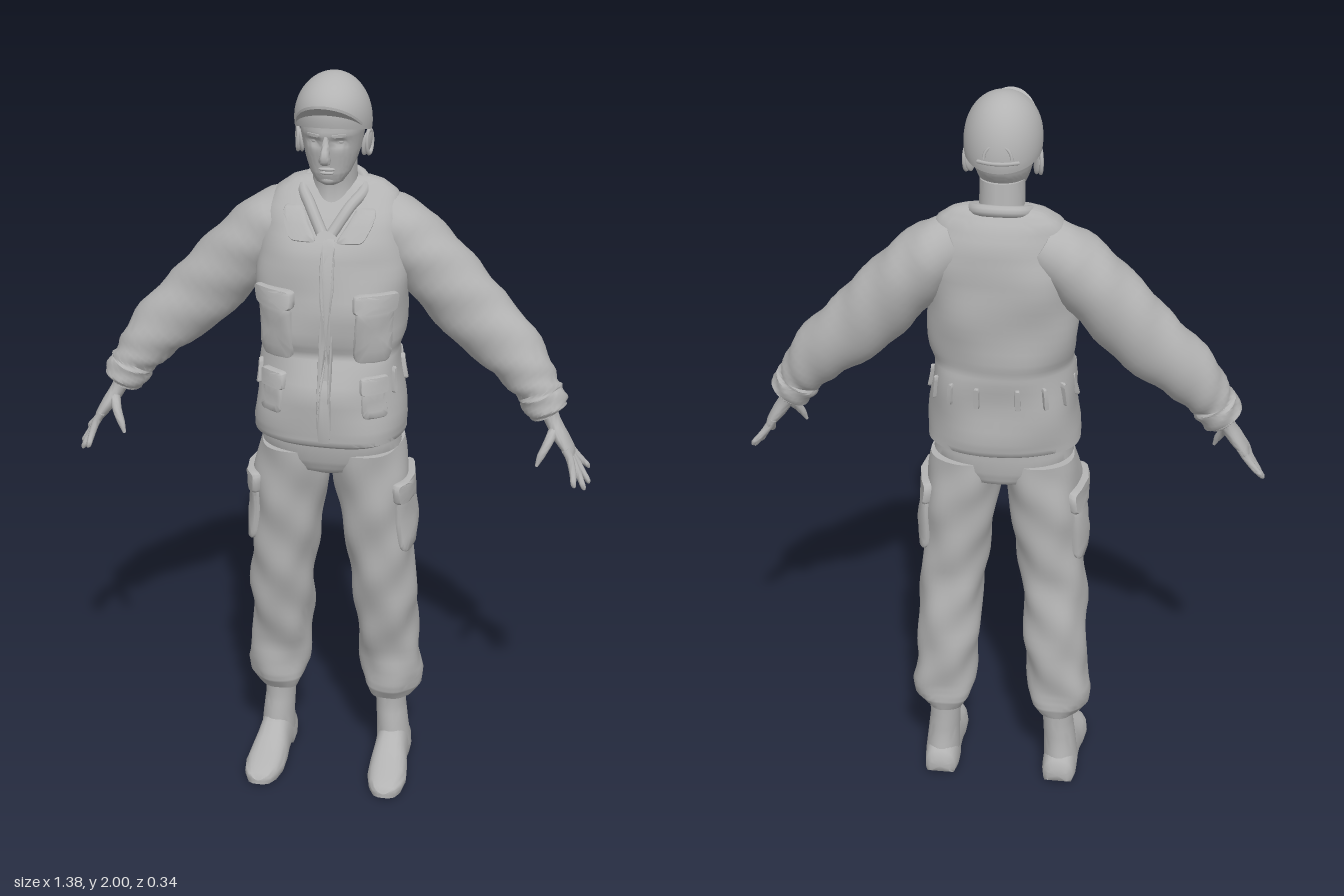
import * as THREE from 'three';
import { toCreasedNormals } from 'three/addons/utils/BufferGeometryUtils.js';

const V = (x, y, z) => new THREE.Vector3(x, y, z);
const spow = (v, e) => Math.sign(v) * Math.abs(v) ** e;
const TAU = Math.PI * 2;

// Closed skin over rings of points, capped at both ends; faces always point outward
function skin(rings, s = 1) {
  const n = rings[0].length, pos = [], idx = [];
  const all = rings.flat();
  for (const r of [rings[0], rings[rings.length - 1]]) {
    const c = V(0, 0, 0);
    r.forEach(p => c.add(p));
    all.push(c.divideScalar(n));
  }
  all.forEach(p => pos.push(p.x * s, p.y, p.z));
  const a0 = all.length - 2, a1 = all.length - 1, last = (rings.length - 1) * n;
  for (let j = 0; j < n; j++) {
    const k = (j + 1) % n;
    for (let i = 0; i < last; i += n) idx.push(i + j, i + k, i + n + k, i + j, i + n + k, i + n + j);
    idx.push(a0, k, j, a1, last + j, last + k);
  }
  const at = i => V(pos[3 * i], pos[3 * i + 1], pos[3 * i + 2]);
  let vol = 0;
  for (let i = 0; i < idx.length; i += 3) vol += at(idx[i]).dot(at(idx[i + 1]).cross(at(idx[i + 2])));
  if (vol < 0) idx.reverse();
  const g = new THREE.BufferGeometry();
  g.setAttribute('position', new THREE.Float32BufferAttribute(pos, 3));
  g.setIndex(idx);
  return toCreasedNormals(g, 0.95);
}

// Upright body surface from sections [y, centre x, centre z, radius x, radius z]
function body(sections, n = 2.3, fold = 0) {
  const point = (a, y, d = 0) => {
    let i = 0;
    while (i < sections.length - 2 && (y - sections[i + 1][0]) * (sections[1][0] - sections[0][0]) > 0) i++;
    const A = sections[i], B = sections[i + 1], t = (y - A[0]) / (B[0] - A[0]);
    const [, cx, cz, rx, rz] = A.map((v, k) => v + (B[k] - v) * t);
    const f = fold * (Math.sin(3 * a + y * 34) + 0.6 * Math.sin(5 * a - y * 21));
    const c = Math.cos(a), q = Math.sin(a), l = Math.hypot(c / rx, q / rz);
    return V(cx + (rx + f) * spow(c, 2 / n) + d * c / rx / l, y, cz + (rz + f) * spow(q, 2 / n) + d * q / rz / l);
  };
  const geometry = (s = 1, sub = 3, m = 40, rule = p => p) => {
    const ys = [];
    sections.forEach((A, i) => {
      if (i) for (let k = 1; k <= sub; k++) ys.push(sections[i - 1][0] + (A[0] - sections[i - 1][0]) * k / sub);
      else ys.push(A[0]);
    });
    return skin(ys.map(y => Array.from({ length: m }, (_, j) => rule(point(j / m * TAU, y)))), s);
  };
  return { point, geometry };
}

// Raised rounded panel that follows a body surface
function panel(surf, a0, a1, y0, y1, d, s = 1, skew = 0) {
  const rings = [[1, -0.012], [1, d * 0.6], [0.93, d], [0.6, d], [0.25, d]].map(([k, o]) =>
    Array.from({ length: 32 }, (_, j) => {
      const t = j / 32 * TAU, u = k * spow(Math.cos(t), 0.3), v = k * spow(Math.sin(t), 0.3);
      return surf.point((a0 + a1) / 2 + u * (a1 - a0) / 2 + skew * v, (y0 + y1) / 2 + v * (y1 - y0) / 2, o);
    }));
  return skin(rings, s);
}

// Limb along a path of [x, y, z, radius across, radius along z]
function limb(path, s = 1, m = 20, sub = 3, fold = 0) {
  const curve = new THREE.CatmullRomCurve3(path.map(p => V(p[0], p[1], p[2])));
  const N = (path.length - 1) * sub, rings = [];
  for (let i = 0; i <= N; i++) {
    const t = i / N, k = Math.min(Math.floor(i / sub), path.length - 2), f = i / sub - k;
    const mix = q => path[k][q] + (path[k + 1][q] - path[k][q]) * f;
    const T = curve.getTangent(t), B = V(0, 0, 1).addScaledVector(T, -T.z).normalize(), U = B.clone().cross(T);
    const c = curve.getPoint(t);
    rings.push(Array.from({ length: m }, (_, j) => {
      const a = j / m * TAU, w = fold * Math.sin(3 * a + i * 1.3);
      return c.clone().addScaledVector(U, (mix(3) + w) * Math.cos(a)).addScaledVector(B, (mix(4) + w) * Math.sin(a));
    }));
  }
  return skin(rings, s);
}

export function createModel() {
  const model = new THREE.Group();
  const grey = new THREE.MeshStandardMaterial({ color: 0xb3b3b3 });
  grey.name = 'plain grey';
  const add = (name, geo) => {
    const m = new THREE.Mesh(geo, grey);
    m.name = name;
    model.add(m);
    return m;
  };
  const ball = (name, x, y, z, rx, ry, rz) => {
    const m = add(name, new THREE.SphereGeometry(1, 16, 12));
    m.position.set(x, y, z);
    m.scale.set(rx, ry, rz);
    return m;
  };
  const F = Math.PI / 2;

  // Jacket
  const jacket = body([[1.05, 0, -.003, .18, .135], [1.062, 0, -.003, .2, .153], [1.1, 0, -.003, .2, .157],
    [1.2, 0, -.005, .189, .154], [1.27, 0, -.018, .182, .142], [1.295, 0, -.022, .179, .136], [1.33, 0, -.02, .188, .144],
    [1.42, 0, -.022, .195, .146], [1.5, 0, -.03, .197, .14], [1.57, 0, -.04, .194, .13], [1.64, 0, -.055, .183, .1],
    [1.69, 0, -.068, .155, .066], [1.715, 0, -.07, .12, .045], [1.725, 0, -.07, .09, .03]], 2.4, 0.003);
  add('jacket', jacket.geometry(1, 3, 56));
  add('jacketPlacket', panel(jacket, F - .09, F + .03, 1.07, 1.6, .004));
  for (const a of [.22, .62]) for (const s of [1, -1])
    add('backBeltLoop', panel(jacket, -F + a - .035, -F + a + .035, 1.2, 1.26, .009, s));

  // Hips
  add('trouserSeat', body([[1.12, 0, -.005, .175, .135], [1.0, 0, -.012, .187, .127], [.965, 0, -.015, .13, .115],
    [.95, 0, -.015, .06, .09]], 2.3).geometry());

  const leg = body([[1.02, .095, -.014, .094, .126], [.93, .107, -.017, .1, .123], [.85, .116, -.02, .097, .118],
    [.75, .125, -.022, .092, .108], [.65, .136, -.027, .087, .1], [.55, .145, -.04, .087, .097], [.45, .147, -.056, .084, .09],
    [.36, .155, -.066, .083, .076], [.29, .163, -.067, .088, .072], [.25, .163, -.067, .078, .074],
    [.215, .16, -.068, .056, .058]], 2.2, 0.0035);
  const boot = body([[.27, .16, -.068, .05, .052], [.18, .16, -.069, .042, .05], [.12, .165, -.066, .044, .056],
    [.04, .17, -.07, .048, .068]], 2);
  // Foot sections: z, centre x, half width, top, bottom
  const foot = [[-.146, .168, .028, .05, .012], [-.135, .168, .042, .075, .004], [-.1, .168, .048, .1, 0], [-.06, .168, .048, .12, 0],
    [-.045, .169, .047, .122, .012], [0, .17, .048, .105, .012], [.04, .172, .053, .08, .005], [.09, .175, .055, .06, 0],
    [.13, .177, .047, .047, 0], [.158, .178, .033, .035, .003], [.173, .178, .016, .022, .008]];

  for (const s of [1, -1]) {
    // Trousers and boots
    add('trouserLeg', leg.geometry(s, 4));
    add('thighPocket', panel(leg, -.7, .8, .72, .9, .013, s));
    add('thighPocketFlap', panel(leg, -.75, .85, .87, .935, .019, s));
    add('bootShaft', boot.geometry(s, 3, 28));
    add('bootFoot', skin(foot.map(([z, cx, w, top, bot]) => Array.from({ length: 24 }, (_, j) => {
      const a = j / 24 * TAU, q = Math.sin(a);
      return V(cx + w * spow(Math.cos(a), .7), q > 0 ? bot + .02 + (top - bot - .02) * q : bot + .02 * (1 - Math.min(1, -q * 2)), z);
    })), s));

    // Jacket pockets, loops and collar flaps
    add('chestPocket', panel(jacket, F - 1.02, F - .36, 1.285, 1.44, .012, s));
    add('chestPocketFlap', panel(jacket, F - 1.06, F - .32, 1.42, 1.47, .016, s));
    add('waistPocket', panel(jacket, F - .95, F - .5, 1.14, 1.23, .008, s));
    add('waistPocketFlap', panel(jacket, F - .98, F - .47, 1.205, 1.25, .012, s));
    for (const a of [.42, -.12, -.55])
      add('sideBeltLoop', panel(jacket, a - .04, a + .04, 1.195, 1.26, .01, s));
    add('collarFlap', panel(jacket, F - .55, F - .2, 1.59, 1.665, .008, s, -.13));

    // Sleeve and cuff
    add('sleeve', limb([[.1, 1.63, -.068, .07, .075], [.165, 1.59, -.067, .085, .095], [.228, 1.529, -.066, .09, .095],
      [.3, 1.45, -.062, .095, .085], [.372, 1.372, -.056, .093, .076], [.463, 1.293, -.042, .081, .072],
      [.515, 1.23, -.028, .066, .066], [.54, 1.195, -.02, .056, .058], [.548, 1.18, -.018, .06, .063],
      [.568, 1.148, -.012, .056, .06], [.574, 1.138, -.011, .045, .05]], s, 28, 4, .003));

    // Hand
    add('palm', limb([[.562, 1.16, -.012, .024, .03], [.583, 1.115, -.004, .02, .028], [.606, 1.078, .005, .019, .038],
      [.63, 1.043, .009, .014, .041], [.637, 1.032, .01, .009, .036]], s));
    const fingers = [[.042, .652, .968, .077], [.021, .676, .95, .047], [-.001, .685, .953, .012], [-.022, .68, .978, -.029]];
    for (const [z, x, y, tz] of fingers)
      add('finger', limb([[.62, 1.056, z, .01, .011], [.633, 1.035, z + .002, .0105, .011],
        [(.637 + x) / 2, (1.03 + y) / 2, (z + tz) / 2, .009, .0095], [x - .003, y + .007, tz, .007, .007],
        [x, y, tz, .003, .003]], s, 10));
    add('thumb', limb([[.588, 1.1, .015, .014, .016], [.575, 1.072, .044, .012, .014], [.56, 1.042, .06, .01, .01],
      [.55, 1.015, .067, .004, .004]], s, 12));
  }

  // Neck and collar
  add('neck', body([[1.62, 0, -.04, .06, .065], [1.7, 0, -.055, .057, .056], [1.79, 0, -.045, .056, .056]], 2).geometry());
  const half = [[.012, 1.61, .066], [.05, 1.668, .022], [.078, 1.7, -.035], [.055, 1.722, -.1]];
  const path = [...half, [0, 1.728, -.118], ...half.map(([x, y, z]) => [-x, y, z]).reverse()].map(p => V(...p));
  add('collar', new THREE.TubeGeometry(new THREE.CatmullRomCurve3(path), 48, .015, 10));

  // Head sections: y, front z, back z, half width
  const head = body([[1.729, .04, .0, .018], [1.738, .054, -.015, .034], [1.76, .062, -.055, .051], [1.785, .065, -.088, .062],
    [1.81, .069, -.107, .07], [1.84, .073, -.12, .076], [1.865, .08, -.125, .08], [1.9, .076, -.125, .081],
    [1.95, .055, -.1, .065]].map(([y, f, b, rx]) => [y, 0, (f + b) / 2, rx, (f - b) / 2]), 2.15);
  add('head', head.geometry(1, 4, 64, p => {
    // Eye sockets
    if (p.z > 0) p.z -= .013 * Math.exp(-(((Math.abs(p.x) - .031) / .016) ** 2) - ((p.y - 1.846) / .011) ** 2);
    return p;
  }));
  add('nose', limb([[0, 1.864, .07, .007, .009], [0, 1.84, .078, .009, .011], [0, 1.818, .09, .012, .013],
    [0, 1.805, .088, .016, .013], [0, 1.797, .078, .011, .007]], 1, 16));
  ball('upperLip', 0, 1.777, .063, .022, .005, .008);
  ball('lowerLip', 0, 1.767, .061, .018, .005, .008);
  ball('chin', 0, 1.746, .046, .02, .013, .013);
  for (const s of [1, -1]) {
    ball('eye', s * .031, 1.846, .047, .013, .008, .01);
    add('eyebrow', panel(head, F - .62, F - .17, 1.861, 1.869, .003, s));
    const ear = ball('ear', s * .085, 1.825, -.025, .008, .034, .02);
    ear.rotation.set(-.15, s * -.4, s * -.2);
    const rim = add('earRim', new THREE.TorusGeometry(.022, .005, 8, 20));
    rim.position.set(s * .091, 1.827, -.027);
    rim.scale.set(.75, 1.35, 1);
    rim.rotation.set(0, F - s * .3, 0);
  }

  // Cap crown, with its rim lower at the back
  const crown = new THREE.SphereGeometry(1, 48, 24, 0, TAU, 0, Math.PI * .56);
  const p = crown.attributes.position;
  for (let i = 0; i < p.count; i++) {
    const y = p.getY(i), z = -.027 + .115 * p.getZ(i);
    p.setXYZ(i, p.getX(i) * .097, 1.888 + .24 * z * (1 - Math.max(0, y)) + .1185 * y - .0065 * y * Math.abs(y), z);
  }
  crown.computeVertexNormals();
  add('capCrown', crown);

  // Cap brim, arched across and raised toward the tip
  const brim = [];
  for (let i = 0; i <= 24; i++) {
    const u = i / 12 - 1, c = Math.cos(u * F), ring = [];
    for (const [v, dy] of [[-.3, 0], [.3, 0], [.7, 0], [1, 0], [1, -.007], [.7, -.007], [.3, -.007], [-.3, -.007]]) {
      const reach = v * .054 * Math.max(c, .02) ** .55;
      ring.push(V(.093 * Math.sin(u * 1.15), 1.923 + .6 * reach - .043 * u * u + dy, -.03 + .112 * Math.cos(u * 1.15) + reach));
    }
    brim.push(ring);
  }
  add('capBrim', skin(brim));

  // Cap back opening and strap
  const arch = add('capOpeningTrim', new THREE.TorusGeometry(.034, .004, 8, 24, Math.PI));
  arch.position.set(0, 1.868, -.136);
  arch.rotation.x = .15;
  const strap = [-.05, -.025, 0, .025, .05].map(x => V(x, 1.858, -.141 + x * x * 6));
  add('capStrap', new THREE.TubeGeometry(new THREE.CatmullRomCurve3(strap), 16, .005, 8));

  return model;
}
